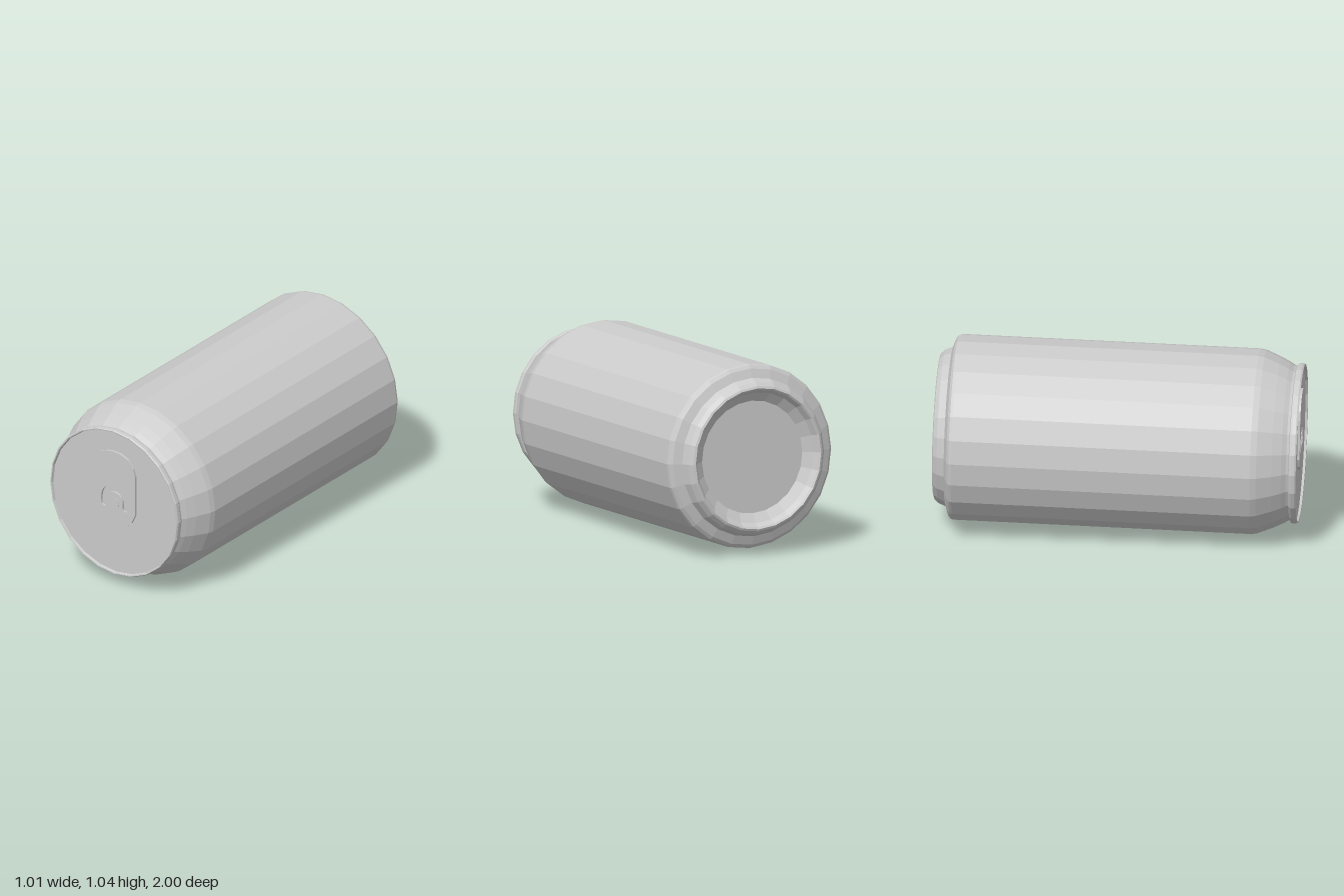
import * as THREE from 'three';

const grey = new THREE.MeshStandardMaterial({ color: 0xcccccc, flatShading: true });
const SIDES = 24;
const LID = 0.976; // distance of the lid along the can's axis

// Lathe whose axis runs along z, from [radius, z] pairs
function turned(name, profile, sides = SIDES) {
  const geo = new THREE.LatheGeometry(profile.map(([r, z]) => new THREE.Vector2(r, z)), sides);
  geo.rotateX(Math.PI / 2);
  const mesh = new THREE.Mesh(geo, grey);
  mesh.name = name;
  return mesh;
}

const points = list => list.map(([x, y]) => new THREE.Vector2(x, y));

// Closed loop mirrored about x = 0, from the points of its right half (top to bottom)
function mirrored(half) {
  const left = half.filter(([x]) => x > 0).map(([x, y]) => [-x, y]).reverse();
  return points([...half, ...left]);
}

// Points along an arc around (cx, cy)
function arc(cx, cy, r, from, to, n) {
  return Array.from({ length: n + 1 }, (_, i) => {
    const a = from + (to - from) * i / n;
    return [cx + r * Math.cos(a), cy + r * Math.sin(a)];
  });
}

export function createModel() {
  const model = new THREE.Group();
  model.name = 'drinkCan';
  const can = new THREE.Group();
  can.name = 'can';
  model.add(can);

  // Recessed base, foot, straight wall and tapered shoulder
  can.add(turned('body', [
    [0, -0.92], [0.31, -0.92], [0.36, -0.955], [0.378, -0.985], [0.388, -0.992],
    [0.4, -0.987], [0.42, -0.965], [0.436, -0.925], [0.485, -0.908], [0.502, -0.895],
    [0.507, -0.88], [0.507, 0.745], [0.5, 0.778], [0.466, 0.86], [0.441, 0.91],
    [0.425, 0.935], [0.42, 0.952],
  ]));

  // Rolled rim and sunken lid
  can.add(turned('rimAndLid', [
    [0.42, 0.948], [0.434, 0.952], [0.438, 0.962], [0.437, 0.982], [0.432, 0.99],
    [0.426, 0.989], [0.422, LID], [0, LID],
  ]));

  // Pull tab with a finger hole and an arched slot around the rivet
  const tab = new THREE.Shape(mirrored([
    [0, 0.31], [0.045, 0.305], [0.095, 0.285], [0.13, 0.24], [0.142, 0.195],
    [0.139, -0.04], [0.115, -0.09], [0.07, -0.128], [0, -0.143],
  ]));
  const fingerHole = mirrored([
    [0.035, 0.262], [0.08, 0.245], [0.102, 0.215], [0.102, 0.18], [0.083, 0.15],
    [0.05, 0.139], [0, 0.135],
  ]);
  const slot = points([
    ...arc(0, 0.016, 0.09, 0, Math.PI, 12),
    ...arc(-0.073, -0.02, 0.017, Math.PI, 2 * Math.PI, 5),
    ...arc(0, 0.008, 0.056, Math.PI, 0, 10),
    ...arc(0.073, -0.02, 0.017, Math.PI, 2 * Math.PI, 5),
  ]);
  tab.holes.push(new THREE.Path(fingerHole), new THREE.Path(slot));
  const pullTab = new THREE.Mesh(
    new THREE.ExtrudeGeometry(tab, { depth: 0.013, bevelEnabled: false }), grey);
  pullTab.name = 'pullTab';
  pullTab.position.set(0.005, 0, LID);
  can.add(pullTab);

  // Rivet holding the tab
  const rivet = turned('rivet', [[0.034, 0], [0.034, 0.016], [0, 0.016]], 16);
  rivet.position.z = LID;
  can.add(rivet);

  // The can lies on its side, resting on the front of its wall
  can.rotation.x = 0.0185;
  can.position.y = 0.521;
  return model;
}
